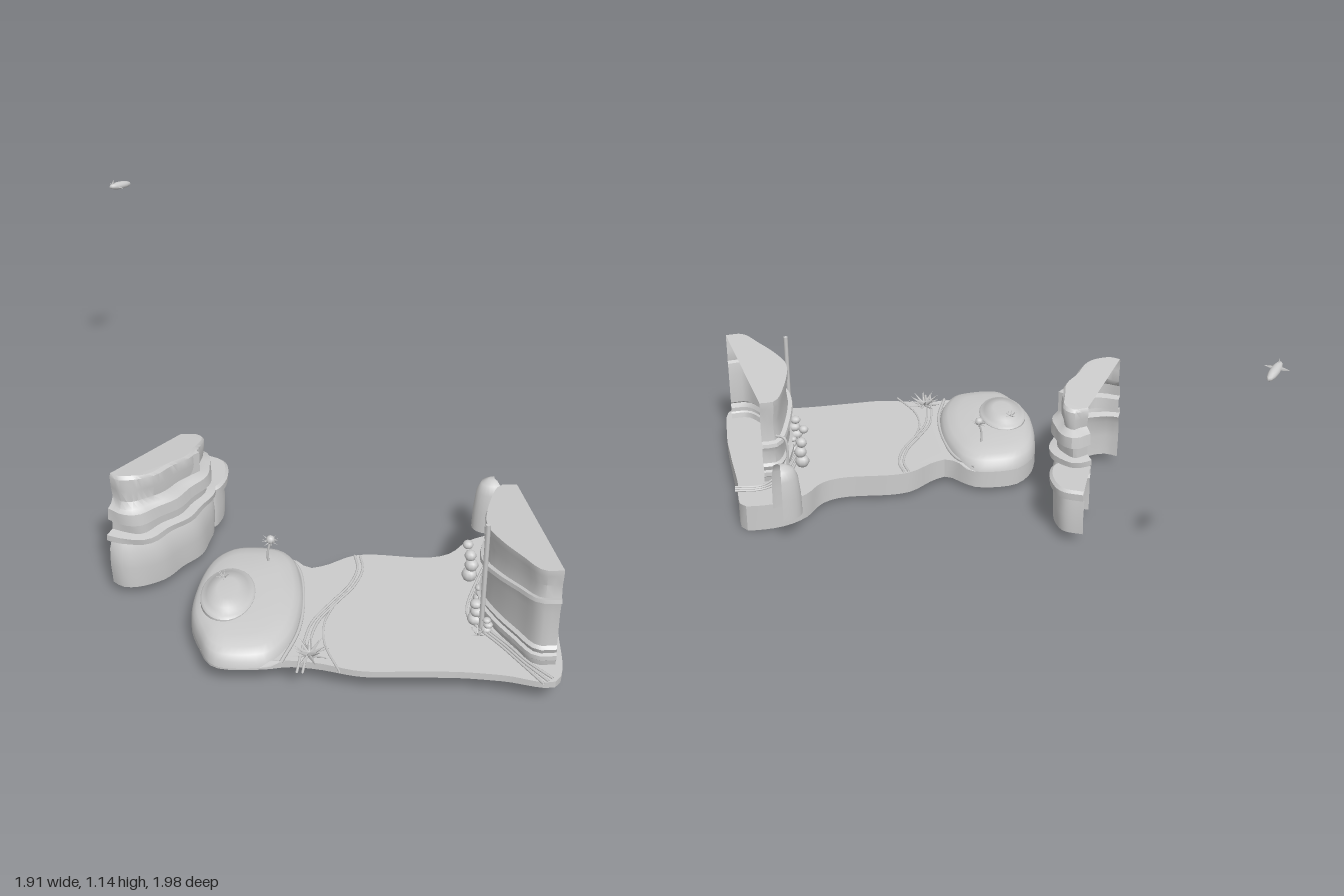
import * as THREE from 'three';
import { toCreasedNormals, mergeGeometries } from 'three/addons/utils/BufferGeometryUtils.js';

const material = new THREE.MeshStandardMaterial({ color: 0xcccccc, side: THREE.DoubleSide });
const V = (x, y, z) => new THREE.Vector3(x, y, z);

function add(parent, name, geometry, x = 0, y = 0, z = 0) {
  const mesh = new THREE.Mesh(geometry, material);
  mesh.name = name;
  mesh.position.set(x, y, z);
  parent.add(mesh);
  return mesh;
}

// Smooth [x, z] path sampled into points on the ground
function sample(points, closed, n) {
  const curve = new THREE.CatmullRomCurve3(points.map(([x, z]) => V(x, 0, z)), closed, 'centripetal');
  const list = curve.getSpacedPoints(n);
  return { list, normals: list.map((_, i) => { const t = curve.getTangentAt(i / n); return V(-t.z, 0, t.x); }) };
}

// Surface through rows of equally many points
function loft(rows) {
  const n = rows[0].length, index = [];
  for (let r = 0; r < rows.length - 1; r++)
    for (let i = 0; i < n - 1; i++) {
      const a = r * n + i, b = a + n;
      index.push(a, a + 1, b, b, a + 1, b + 1);
    }
  const g = new THREE.BufferGeometry().setFromPoints(rows.flat());
  g.setIndex(index);
  return toCreasedNormals(g, 0.6);
}

// Flat or sloping cap over an outline
function cap(points) {
  const faces = THREE.ShapeUtils.triangulateShape(points.map(p => new THREE.Vector2(p.x, p.z)), []);
  const g = new THREE.BufferGeometry().setFromPoints(points);
  g.setIndex(faces.flatMap(([a, b, c]) => [a, c, b]));
  g.computeVertexNormals();
  return g;
}

// Open-backed rock wall: levels are [height, outward offset, slope along z]
function rockWall(parent, name, path, levels, z0, wobble = 0) {
  const { list, normals } = sample(path, false, 28);
  const rows = levels.map(([y, off, slope = 0], r) => list.map((p, i) => {
    const q = p.clone().addScaledVector(normals[i], off + wobble * Math.sin(i * 0.9 + r * 0.5));
    q.y = y + slope * (p.z - z0);
    return q;
  }));
  const group = new THREE.Group();
  group.name = name;
  add(group, name + 'Face', loft(rows));
  add(group, name + 'Roof', cap(rows[rows.length - 1]));
  parent.add(group);
}

function tube(parent, name, points, radius, closed = false) {
  const curve = new THREE.CatmullRomCurve3(points.map(p => V(...p)), closed);
  return add(parent, name, new THREE.TubeGeometry(curve, 40, radius, 6, closed));
}

// Rosette of pointed leaves
function rosette(parent, name, x, y, z, size, leaves, tilt) {
  const parts = [];
  for (let i = 0; i < leaves; i++) {
    const leaf = new THREE.ConeGeometry(size * 0.13, size, 4);
    leaf.translate(0, size / 2, 0).rotateZ(-tilt * (i % 2 ? 1 : 0.65)).rotateY(i * Math.PI * 2 / leaves);
    parts.push(leaf);
  }
  add(parent, name, mergeGeometries(parts), x, y, z);
}

export function createModel() {
  const model = new THREE.Group();

  // Ground: level top with a skirt whose lower edge rises toward the front
  const ground = sample([[-0.3, 0.31], [-0.25, 0.28], [-0.1, 0.28], [-0.05, 0.31], [0.02, 0.37], [0.08, 0.35],
    [0.18, 0.28], [0.25, 0.265], [0.48, 0.265], [0.56, 0.23], [0.62, 0.15], [0.7, 0.1], [0.8, 0.08], [0.88, 0.09],
    [0.9, 0.28], [0.93, 0.5], [0.95, 0.7], [0.93, 0.95], [0.75, 0.935], [0.6, 0.93], [0.4, 0.945], [0.25, 0.955],
    [0.1, 0.925], [0, 0.92], [-0.1, 0.945], [-0.27, 0.945], [-0.34, 0.83], [-0.385, 0.7], [-0.38, 0.5],
    [-0.345, 0.37]], true, 110).list;
  const at = (p, y) => V(p.x, y, p.z);
  const edgeY = p => p.x < -0.05 ? 0.1 : 0.118;
  add(model, 'groundSkirt', loft([ground.map(p => at(p, 0.005 + (p.z - 0.08) * 0.1)), ground.map(p => at(p, edgeY(p)))]));
  add(model, 'groundTop', cap(ground.slice(0, -1).map(p => at(p, edgeY(p)))));

  // Rounded mound with a small upper tier
  const moundEdge = sample([[-0.3, 0.31], [-0.25, 0.28], [-0.1, 0.28], [-0.04, 0.33], [0, 0.45], [0.02, 0.6],
    [0, 0.8], [-0.06, 0.92], [-0.1, 0.945], [-0.27, 0.945], [-0.34, 0.83], [-0.385, 0.7], [-0.38, 0.5],
    [-0.345, 0.37]], true, 60).list;
  const shrink = (s, y) => moundEdge.map(p => V(-0.25 + (p.x + 0.25) * s, y, 0.62 + (p.z - 0.62) * s));
  add(model, 'mound', loft([[1, 0.1], [0.985, 0.125], [0.94, 0.145], [0.86, 0.16], [0.7, 0.172], [0.4, 0.18], [0, 0.182]]
    .map(([s, y]) => shrink(s, y))));
  const tier = add(model, 'moundTier', toCreasedNormals(new THREE.LatheGeometry(
    [[1, 0.165], [1, 0.183], [0.93, 0.192], [0.78, 0.194], [0.72, 0.205], [0.4, 0.21], [0, 0.21]]
      .map(([x, y]) => new THREE.Vector2(x, y)), 28), 0.6), -0.255, 0, 0.64);
  tier.scale.set(0.1, 1, 0.155);

  // Layered cliff, its low side block and two stone windows
  rockWall(model, 'cliff', [[-0.73, 0.43], [-0.68, 0.455], [-0.6, 0.45], [-0.51, 0.36], [-0.44, 0.26],
    [-0.395, 0.15], [-0.4, 0.05], [-0.45, 0], [-0.52, 0.02]],
  [[0.05, 0], [0.14, 0.005], [0.21, 0], [0.245, -0.015], [0.255, 0.012], [0.28, 0.014], [0.287, -0.02],
    [0.335, -0.018], [0.343, 0.008], [0.39, 0.004], [0.4, -0.015], [0.41, -0.03, 0.04], [0.45, -0.026, 0.06],
    [0.485, -0.026, 0.09], [0.497, -0.035, 0.09]], 0.05, 0.006);
  rockWall(model, 'sideBlock', [[-0.52, 0], [-0.4, 0.04], [-0.37, -0.02], [-0.37, -0.1], [-0.39, -0.15], [-0.46, -0.185]],
    [[0.05, 0], [0.13, 0.003], [0.2, -0.005], [0.21, 0.018], [0.24, 0.02], [0.25, 0.008]], 0);
  for (const [x, z] of [[-0.515, 0.265], [-0.45, 0.2]]) {
    const panel = add(model, 'stoneWindow', new THREE.BoxGeometry(0.065, 0.085, 0.03), x, 0.46, z);
    panel.rotation.y = 0.8;
  }

  // Tall curved wall with a sloping ledge
  rockWall(model, 'tower', [[0.79, 0.275], [0.73, 0.285], [0.69, 0.4], [0.675, 0.58], [0.72, 0.68],
    [0.79, 0.78], [0.86, 0.865], [0.93, 0.86]],
  [[0.115, 0], [0.14, 0.005], [0.146, 0.012], [0.165, 0.012], [0.17, 0], [0.19, 0.008], [0.2, -0.004],
    [0.25, -0.008, 0.15], [0.272, 0, 0.2], [0.28, 0.015, 0.2], [0.295, 0.012, 0.2], [0.302, -0.005, 0.18],
    [0.38, -0.012, 0.13], [0.45, 0, 0.09], [0.48, 0, 0.08]], 0.28);

  // Three parallel rails around the wall foot
  for (let i = 0; i < 3; i++) {
    const d = i * 0.016;
    tube(model, 'rail', [[0.91, 0.2 + d], [0.8, 0.2 + d], [0.71 + d, 0.27 + d], [0.655 + d, 0.42], [0.62 + d, 0.6],
      [0.65 + d, 0.67], [0.74 + d, 0.78], [0.8 + d, 0.86], [0.885 + d, 0.975 - d]].map(([x, z]) => [x, 0.124, z]), 0.005);
  }

  // Winding path edges and the seam at the foot of the mound
  for (const d of [0, 0.02]) {
    tube(model, 'pathEdge', [[0.19 + d, 0.28], [0.205 + d, 0.36], [0.18 + d, 0.47], [0.12 + d, 0.58], [0.06 + d, 0.7],
      [0.04 + d, 0.82], [0.03 + d, 0.98]].map(([x, z]) => [x, 0.12, z]), 0.005);
  }
  tube(model, 'pathBranch', [[0.13, 0.6], [0.105, 0.7], [0.115, 0.82], [0.18, 0.97]].map(([x, z]) => [x, 0.12, z]), 0.004);
  tube(model, 'moundSeam', [[-0.09, 0.29], [-0.02, 0.38], [0.015, 0.55], [0.015, 0.75], [-0.03, 0.93]]
    .map(([x, z]) => [x, 0.12, z]), 0.007);

  // Poles
  add(model, 'tallPole', new THREE.CylinderGeometry(0.009, 0.009, 0.46, 8), 0.672, 0.35, 0.69);
  tube(model, 'bentPole', [[0.69, 0.12, 0.235], [0.69, 0.22, 0.235], [0.69, 0.31, 0.235], [0.7, 0.335, 0.24],
    [0.73, 0.335, 0.26]], 0.006);

  // Stacked stones by the wall
  for (const [x, z, r, h] of [[0.63, 0.39, 0.03, 0.13], [0.65, 0.65, 0.03, 0.1], [0.665, 0.52, 0.022, 0.07], [0.69, 0.7, 0.02, 0.06]]) {
    const stack = new THREE.Group();
    stack.name = 'stoneStack';
    for (let k = 0; k < 3; k++) {
      const stone = add(stack, 'stone', new THREE.SphereGeometry(r * (1 - k * 0.12), 10, 7), k % 2 * 0.006, 0.12 + h * (k + 0.5) / 3, 0);
      stone.scale.y = h / 4.5 / r;
    }
    stack.position.set(x, 0, z);
    model.add(stack);
  }
  const ball = add(model, 'bush', new THREE.SphereGeometry(0.02, 10, 8), 0.618, 0.285, 0.4);
  ball.scale.y = 0.85;

  // Arched shell behind the wall, open on its far side
  const shell = add(model, 'archedShell', new THREE.LatheGeometry(
    [[0.07, 0.11], [0.068, 0.2], [0.06, 0.28], [0.045, 0.318], [0.02, 0.332], [0, 0.333]]
      .map(([x, y]) => new THREE.Vector2(x, y)), 14, Math.PI * 0.95, Math.PI * 1.15), 0.72, 0, 0.015);
  shell.scale.set(1.15, 1, 0.85);
  shell.rotation.y = 0.25;

  // Plants
  tube(model, 'flowerStem', [[-0.13, 0.16, 0.41], [-0.133, 0.21, 0.413], [-0.122, 0.265, 0.41]], 0.005);
  rosette(model, 'flowerHead', -0.122, 0.262, 0.41, 0.036, 14, 1.7);
  add(model, 'flowerCore', new THREE.SphereGeometry(0.017, 10, 8), -0.122, 0.27, 0.41);
  rosette(model, 'moundTuft', -0.28, 0.2, 0.57, 0.035, 9, 1.1);
  rosette(model, 'spikyPlant', 0.065, 0.12, 0.885, 0.078, 16, 1.4);
  rosette(model, 'wallTuft', 0.66, 0.12, 0.72, 0.04, 8, 1.2);

  // Small flying craft: tapered body, wings and tail fin, seen far behind
  const flyer = new THREE.Group();
  flyer.name = 'flyer';
  const body = add(flyer, 'flyerBody', new THREE.SphereGeometry(0.02, 12, 8));
  body.scale.set(0.85, 0.8, 3);
  for (const side of [-1, 1]) {
    const wing = add(flyer, 'flyerWing', new THREE.ConeGeometry(0.018, 0.045, 4), side * 0.022, 0, 0.022);
    wing.rotation.z = -side * Math.PI / 2;
    wing.scale.z = 0.4 + 0.6;
    wing.scale.x = 0.3;
  }
  const fin = add(flyer, 'flyerFin', new THREE.ConeGeometry(0.014, 0.03, 4), 0, 0.014, 0.04);
  fin.scale.x = 0.3;
  flyer.position.set(-0.905, 1.11, -0.955);
  flyer.rotation.set(-0.15, -0.65, 0, 'YXZ');
  model.add(flyer);

  return model;
}
